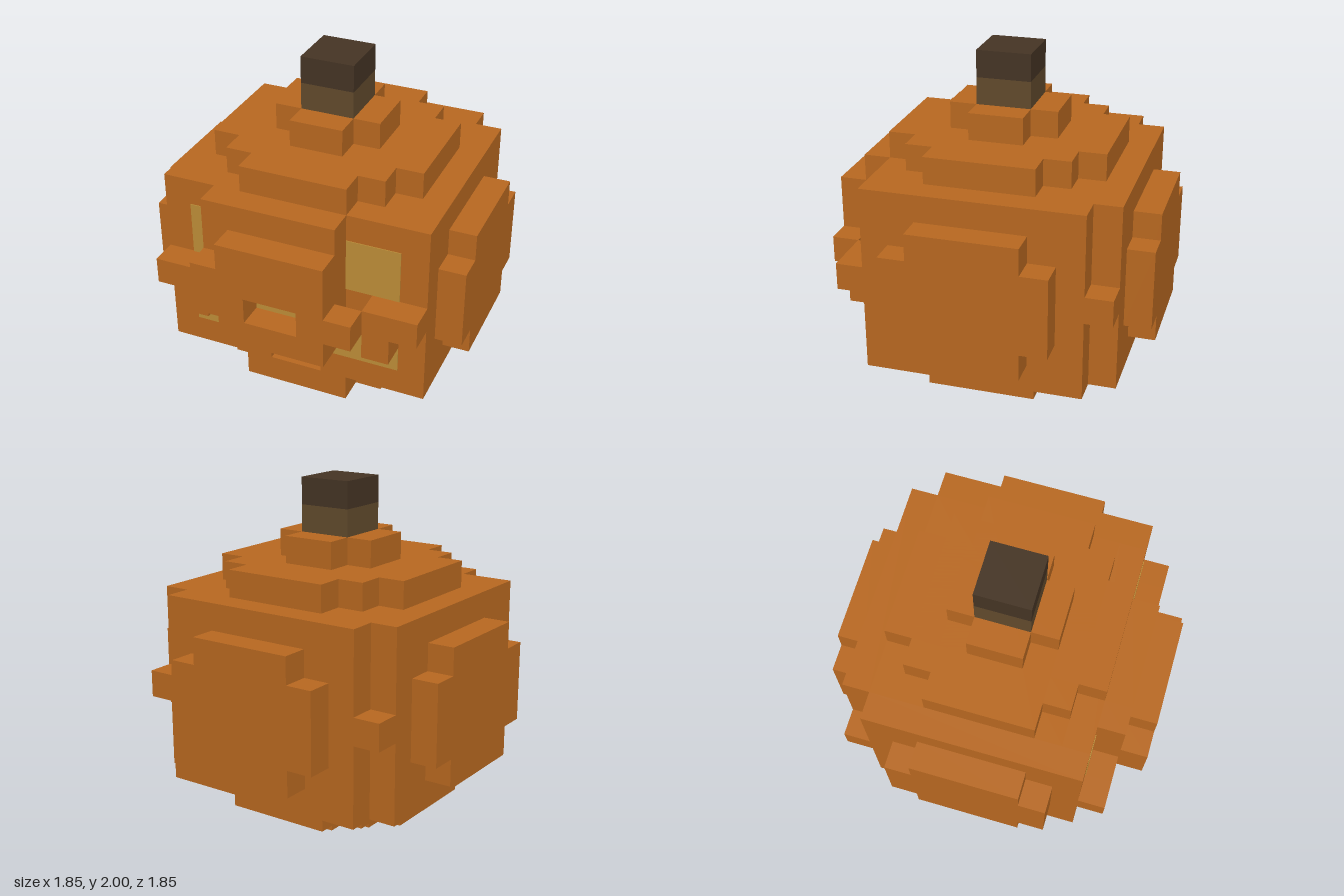
import * as THREE from 'three';
import { mergeGeometries } from 'three/addons/utils/BufferGeometryUtils.js';

const U = 2 / 13; // edge of one cube; all part sizes below are counted in cubes

function material(name, color) {
  const m = new THREE.MeshStandardMaterial({ color });
  m.name = name;
  return m;
}

// Box from [x0, x1, y0, y1, z0, z1] in cube units
function box([x0, x1, y0, y1, z0, z1]) {
  return new THREE.BoxGeometry((x1 - x0) * U, (y1 - y0) * U, (z1 - z0) * U)
    .translate((x0 + x1) / 2 * U, (y0 + y1) / 2 * U, (z0 + z1) / 2 * U);
}

export function createModel() {
  const model = new THREE.Group();
  model.name = 'pumpkinLantern';
  const skin = material('orangeSkin', 0xb86820);
  const glow = material('yellowGlow', 0xbd8d37);
  const stemLight = material('stemBrown', 0x614a2c);
  const stemDark = material('stemDarkBrown', 0x453424);

  function part(name, mat, boxes) {
    const mesh = new THREE.Mesh(mergeGeometries(boxes.map(box)), mat);
    mesh.name = name;
    model.add(mesh);
  }

  // Core, with a small pocket under the mouth
  part('core', skin, [
    [-4, 4, 2, 9, -4, 3],
    [-4, 4, 3, 9, 3, 4],
    [-4, -1, 2, 3, 3, 4],
    [1, 4, 2, 3, 3, 4],
  ]);

  // Stepped round caps, the same above and below
  for (const [name, inner, outer] of [['bottomCap', 1, 0], ['topCap', 9, 10]]) {
    part(name, skin, [
      ...[[4, 2], [3, 3], [2, 4]].map(([x, z]) => [-x, x, inner, inner + 1, -z, z]),
      ...[[2, 1], [1, 2]].map(([x, z]) => [-x, x, outer, outer + 1, -z, z]),
    ]);
  }

  // Bulging sides: each layer is [near, far, y0, y1, half width]
  const bulge = [[4, 5, 2, 9, 4], [5, 6, 3, 8, 2], [5, 6, 4, 7, 3]];
  part('leftSide', skin, bulge.map(([a, b, y0, y1, w]) => [a, b, y0, y1, -w, w]));
  part('rightSide', skin, bulge.map(([a, b, y0, y1, w]) => [-b, -a, y0, y1, -w, w]));
  part('back', skin, bulge.map(([a, b, y0, y1, w]) => [-w, w, y0, y1, -b, -a]));

  // Single cubes in the four upright corners
  const corners = [];
  for (const x of [-5, 4]) for (const z of [-5, 4]) corners.push([x, x + 1, 5, 6, z, z + 1]);
  part('cornerCubes', skin, corners);

  // Carved front: what remains around the eyes, nose and mouth
  part('faceLayer', skin, [
    [-2, 2, 4, 9, 4, 5],
    [-3, -2, 5, 9, 4, 5],
    [-4, -3, 4, 6, 4, 5],
    [3, 4, 4, 6, 4, 5],
  ]);
  part('facePanel', skin, [
    [-2, 2, 6, 8, 5, 6],
    [-2, 2, 4, 5, 5, 6],
    [-2, -1, 5, 6, 5, 6],
    [1, 2, 5, 6, 5, 6],
    [-3, -2, 5, 7, 5, 6],
    [2, 3, 5, 6, 5, 6],
  ]);

  // Glowing plates at the back of the carvings
  const plate = (x0, x1, y0, y1, z) => [x0, x1, y0, y1, z, z + 0.03];
  part('rightEye', glow, [plate(-4, -3, 6, 8, 4)]);
  part('leftEye', glow, [plate(2, 4, 6, 8, 4)]);
  part('nose', glow, [plate(-1, 1, 5, 6, 5)]);
  part('mouth', glow, [
    plate(-4, 4, 3, 4, 4),
    plate(-3, -2, 4, 5, 4),
    plate(2, 3, 4, 5, 4),
  ]);

  // Two-tone stem
  part('stemBase', stemLight, [[-1, 1, 11, 12, -1, 1]]);
  part('stemTip', stemDark, [[-1, 1, 12, 13, -1, 1]]);

  return model;
}
